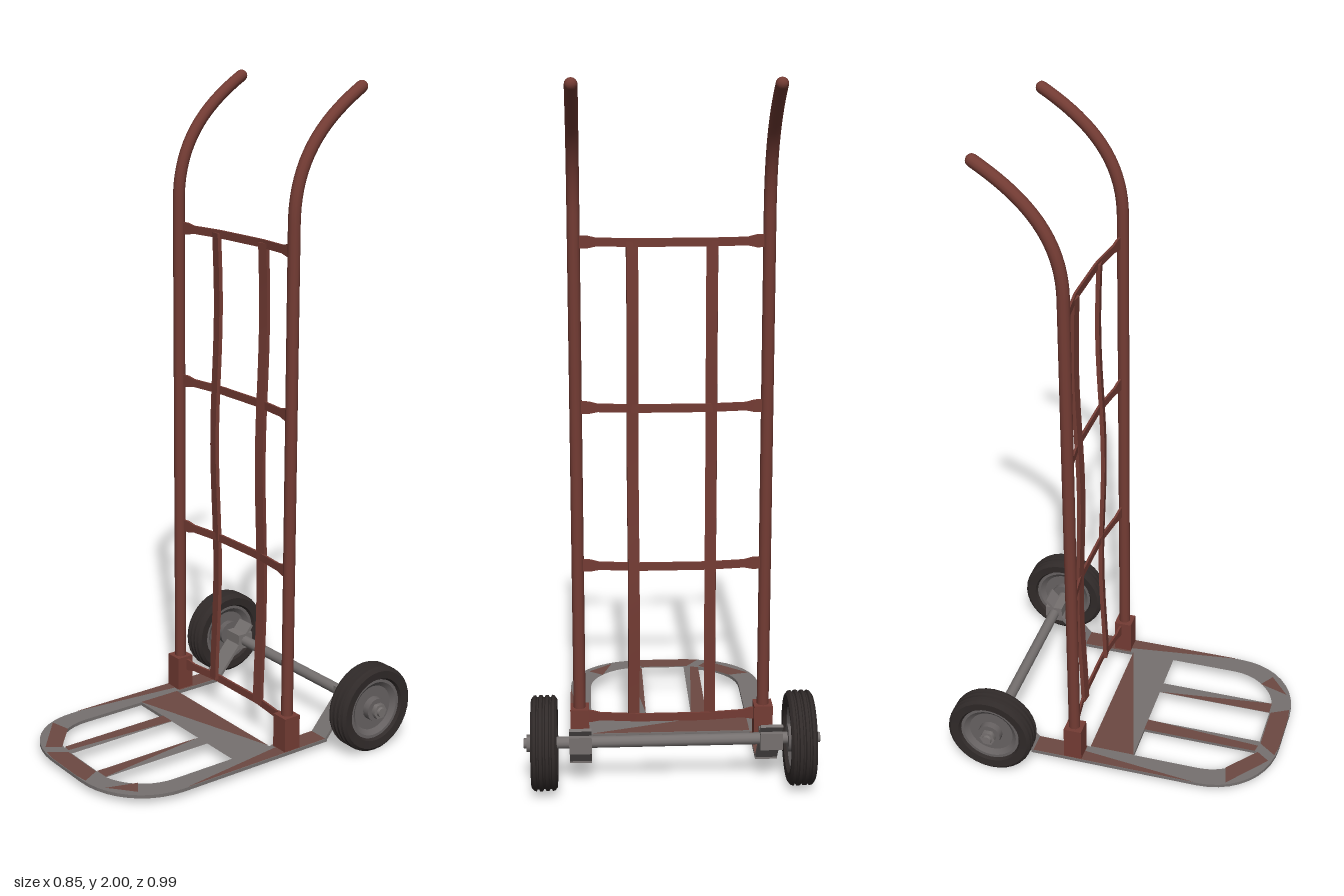
import * as THREE from 'three';
import { toCreasedNormals } from 'three/addons/utils/BufferGeometryUtils.js';

const mat = (name, color) => {
  const m = new THREE.MeshStandardMaterial({ color });
  m.name = name;
  return m;
};

export function createModel() {
  const rustRed = mat('rust red paint', 0x743c34);
  const steel = mat('worn steel', 0x767170);
  const rust = mat('rusted steel', 0x6c4942);
  const rubber = mat('tyre rubber', 0x302a29);
  const hubGrey = mat('hub grey', 0x676262);

  const model = new THREE.Group();
  model.name = 'handTruck';
  const CX = -0.01; // frame centre line
  const AXLE_Y = 0.14, AXLE_Z = -0.36;

  const add = (parent, name, geo, material, x = 0, y = 0, z = 0) => {
    const mesh = new THREE.Mesh(geo, material);
    mesh.name = name;
    mesh.position.set(x, y, z);
    parent.add(mesh);
    return mesh;
  };
  const box = (w, h, d) => new THREE.BoxGeometry(w, h, d);

  // Uprights with curved handles, sockets and rear brackets
  for (const side of [-1, 1]) {
    const x = CX + side * 0.275;
    const v = (y, z) => new THREE.Vector3(x, y, z);
    const path = new THREE.CurvePath();
    path.add(new THREE.LineCurve3(v(0.04, -0.12), v(1.62, -0.12)));
    path.add(new THREE.CubicBezierCurve3(v(1.62, -0.12), v(1.8, -0.12), v(1.9, -0.22), v(1.982, -0.355)));
    add(model, 'upright', new THREE.TubeGeometry(path, 80, 0.018, 12), rustRed);
    add(model, 'handleEnd', new THREE.SphereGeometry(0.018, 12, 8), rustRed, x, 1.982, -0.355);

    const railX = CX + side * 0.2725;
    add(model, 'socket', box(0.056, 0.112, 0.056), rustRed, x, 0.086, -0.119);
    const bracket = add(model, 'rearBracket', box(0.064, 0.009, 0.214), steel, railX, 0.109, -0.318);
    bracket.rotation.x = Math.atan2(0.16, 0.14);
    add(model, 'axleClamp', box(0.064, 0.05, 0.056), steel, railX, AXLE_Y, AXLE_Z);
  }

  // Flat cross bars, bent backwards in the middle and flared at the ends
  for (const y of [0.115, 0.59, 1.065, 1.54]) {
    const geo = new THREE.BoxGeometry(0.53, 0.024, 0.007, 20, 1, 1);
    const p = geo.attributes.position;
    for (let i = 0; i < p.count; i++) {
      const ax = Math.abs(p.getX(i));
      p.setZ(i, p.getZ(i) + 0.02 * THREE.MathUtils.clamp((ax - 0.1) / 0.16, 0, 1));
      if (ax > 0.22) p.setY(i, p.getY(i) * 1.5);
    }
    geo.computeVertexNormals();
    add(model, 'crossBar', geo, rustRed, CX, y, -0.145);
  }

  // Vertical slats, slightly wavy
  for (const side of [-1, 1]) {
    const geo = new THREE.BoxGeometry(0.033, 1.43, 0.012, 1, 24, 1);
    const p = geo.attributes.position;
    for (let i = 0; i < p.count; i++) {
      p.setZ(i, p.getZ(i) - 0.006 * Math.cos(p.getY(i) * 7.5 + 2.6));
    }
    geo.computeVertexNormals();
    const slat = add(model, 'slat', geo, rustRed, CX + side * 0.1125, 0.828, -0.142);
    slat.rotation.y = side * 0.12;
  }

  // Toe plate, drawn in plan with shape y = -z
  const poly = (pts) => new THREE.Shape(pts.map(([x, z]) => new THREE.Vector2(x, -z)));
  const plate = new THREE.Shape();
  plate.moveTo(-0.315, 0.255);
  plate.lineTo(-0.25, 0.255);
  plate.lineTo(-0.25, 0.08);
  plate.lineTo(0.23, 0.08);
  plate.lineTo(0.23, 0.255);
  plate.lineTo(0.295, 0.255);
  plate.lineTo(0.295, -0.28);
  plate.bezierCurveTo(0.295, -0.4, 0.2, -0.49, 0.07, -0.49);
  plate.lineTo(-0.09, -0.49);
  plate.bezierCurveTo(-0.22, -0.49, -0.315, -0.4, -0.315, -0.28);
  for (const side of [-1, 1]) {
    const x = (d) => CX + side * d;
    const hole = new THREE.Path();
    hole.moveTo(x(0.116), -0.06);
    hole.lineTo(x(0.24), -0.06);
    hole.lineTo(x(0.24), -0.27);
    hole.bezierCurveTo(x(0.24), -0.35, x(0.18), -0.41, x(0.116), -0.424);
    plate.holes.push(hole);
  }
  plate.holes.push(poly([[-0.08, 0.06], [0.06, 0.06], [0.06, 0.426], [-0.08, 0.426]]));
  const plateGeo = new THREE.ExtrudeGeometry(plate, { depth: 0.01, bevelEnabled: false, curveSegments: 10 });
  plateGeo.rotateX(-Math.PI / 2);
  add(model, 'toePlate', plateGeo, steel, 0, 0.024, 0);

  // Angular rust patches on the toe plate
  const patches = [
    [[-0.25, -0.08], [0.23, -0.08], [-0.25, 0.06]],
    [[-0.128, 0.06], [-0.08, 0.06], [-0.102, 0.425], [-0.128, 0.42]],
    [[0.06, 0.06], [0.105, 0.425], [0.06, 0.426]],
    [[-0.315, -0.25], [-0.25, -0.25], [-0.25, -0.09], [-0.315, -0.09]],
    [[0.23, -0.25], [0.295, -0.25], [0.295, -0.09], [0.23, -0.09]],
    [[-0.315, -0.09], [-0.275, -0.09], [-0.315, 0.27]],
    [[0.25, -0.09], [0.295, -0.09], [0.295, 0.27]],
    [[-0.29, 0.365], [-0.225, 0.35], [-0.13, 0.43], [-0.16, 0.47]],
    [[-0.09, 0.43], [0.06, 0.43], [0.09, 0.485], [0.05, 0.49], [-0.09, 0.49], [-0.13, 0.483]],
    [[0.19, 0.37], [0.235, 0.4], [0.16, 0.462]],
  ];
  const patchGeo = new THREE.ShapeGeometry(patches.map(poly));
  patchGeo.rotateX(-Math.PI / 2);
  add(model, 'rustPatches', patchGeo, rust, 0, 0.0355, 0);

  // Axle
  const axle = add(model, 'axle', new THREE.CylinderGeometry(0.017, 0.017, 0.82, 12), steel, 0, AXLE_Y, AXLE_Z);
  axle.rotation.z = Math.PI / 2;

  // Wheels: grooved tyre, dished hub, boss and nut
  const tyre = [[0.093, -0.024], [0.1, -0.035], [0.124, -0.037], [0.133, -0.03]];
  for (const g of [-0.018, 0, 0.018]) {
    tyre.push([0.135, g - 0.005], [0.129, g - 0.002], [0.129, g + 0.002], [0.135, g + 0.005]);
  }
  tyre.push([0.133, 0.03], [0.124, 0.037], [0.1, 0.035], [0.093, 0.024], [0.093, -0.024]);
  const hub = [[0, -0.014], [0.07, -0.014], [0.085, -0.026], [0.096, -0.026],
    [0.096, 0.026], [0.085, 0.026], [0.07, 0.014], [0, 0.014]];
  const lathe = (pts) => toCreasedNormals(
    new THREE.LatheGeometry(pts.map(([r, y]) => new THREE.Vector2(r, y)), 32), 0.5);
  const tyreGeo = lathe(tyre), hubGeo = lathe(hub);
  for (const side of [-1, 1]) {
    const wheel = new THREE.Group();
    wheel.name = side > 0 ? 'leftWheel' : 'rightWheel';
    wheel.position.set(side * 0.365, AXLE_Y, AXLE_Z);
    wheel.rotation.z = -side * Math.PI / 2;
    add(wheel, 'tyre', tyreGeo, rubber);
    add(wheel, 'hub', hubGeo, hubGrey);
    add(wheel, 'boss', new THREE.CylinderGeometry(0.036, 0.04, 0.07, 16), hubGrey);
    add(wheel, 'nut', new THREE.CylinderGeometry(0.025, 0.025, 0.014, 6), steel, 0, 0.044, 0);
    add(wheel, 'axleTip', new THREE.CylinderGeometry(0.014, 0.017, 0.02, 12), steel, 0, 0.049, 0);
    model.add(wheel);
  }

  return model;
}
